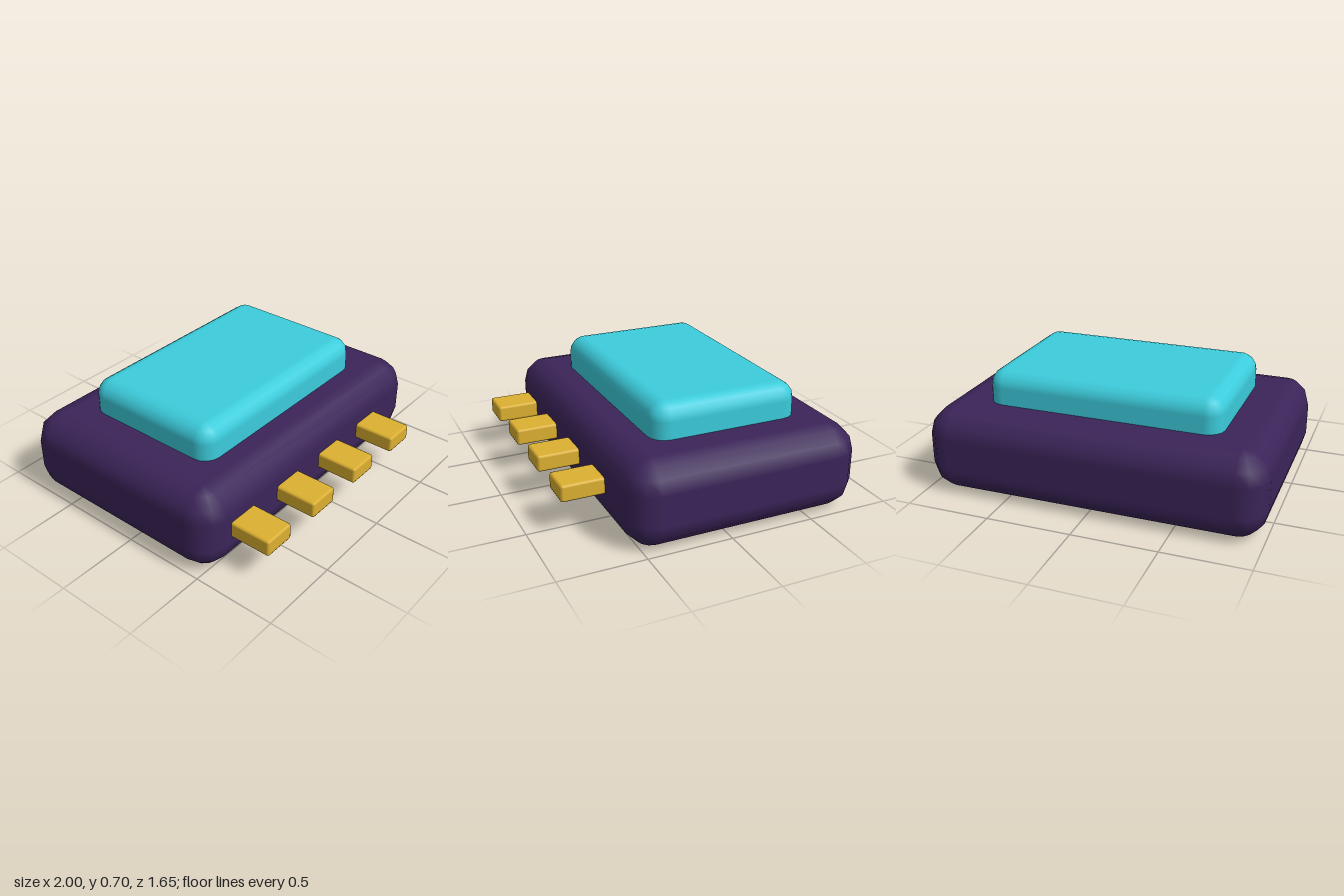
import * as THREE from 'three';

// Rounded box: n arc steps per 90 degrees, built from stacked rounded-rectangle rings.
function roundedBox(w, h, d, r, n) {
  const pos = [], nor = [], idx = [];
  const cols = 4 * (n + 1), rows = 2 * (n + 1);
  for (let j = 0; j < rows; j++) {
    const top = j <= n;
    const lat = ((top ? j : j - 1) / n) * Math.PI / 2; // 0 = up, PI = down
    for (let i = 0; i < cols; i++) {
      const q = Math.floor(i / (n + 1));
      const a = (q + (i % (n + 1)) / n) * Math.PI / 2;
      const nx = Math.sin(lat) * Math.cos(a), ny = Math.cos(lat), nz = Math.sin(lat) * Math.sin(a);
      const sx = q === 0 || q === 3 ? 1 : -1, sz = q < 2 ? 1 : -1;
      pos.push(sx * (w / 2 - r) + r * nx, (top ? 1 : -1) * (h / 2 - r) + r * ny, sz * (d / 2 - r) + r * nz);
      nor.push(nx, ny, nz);
    }
  }
  for (let j = 0; j < rows - 1; j++) {
    for (let i = 0; i < cols; i++) {
      const k = (i + 1) % cols;
      const a = j * cols + i, b = j * cols + k, c = a + cols, e = b + cols;
      idx.push(a, b, c, b, e, c);
    }
  }
  // flat caps between the four corners
  const [p0, p1, p2, p3] = [0, 1, 2, 3].map((q) => q * (n + 1));
  const o = (rows - 1) * cols;
  idx.push(p0, p2, p1, p0, p3, p2, o + p0, o + p1, o + p2, o + p0, o + p2, o + p3);

  const g = new THREE.BufferGeometry();
  g.setAttribute('position', new THREE.Float32BufferAttribute(pos, 3));
  g.setAttribute('normal', new THREE.Float32BufferAttribute(nor, 3));
  g.setIndex(idx);
  return g;
}

export function createModel() {
  const group = new THREE.Group();
  const material = (name, color) => {
    const m = new THREE.MeshStandardMaterial({ color });
    m.name = name;
    return m;
  };
  const purple = material('dark purple', 0x3b2459);
  const cyan = material('cyan', 0x3cccdc);
  const gold = material('gold', 0xdcb030);

  const add = (name, geometry, mat, x, y, z) => {
    const mesh = new THREE.Mesh(geometry, mat);
    mesh.name = name;
    mesh.position.set(x, y, z);
    group.add(mesh);
  };

  // main slab
  add('body', roundedBox(2, 0.5, 1.4, 0.16, 3), purple, 0, 0.25, -0.125);

  // raised panel, sunk into the top of the slab
  add('topPanel', roundedBox(1.4, 0.4, 0.9, 0.1, 4), cyan, 0, 0.5, -0.125);

  // row of contact pins along the front
  const pin = roundedBox(0.2, 0.1, 0.4, 0.015, 2);
  for (let i = 0; i < 4; i++) {
    add(`contactPin${i + 1}`, pin, gold, -0.7 + i * 0.4, 0.25, 0.625);
  }
  return group;
}
